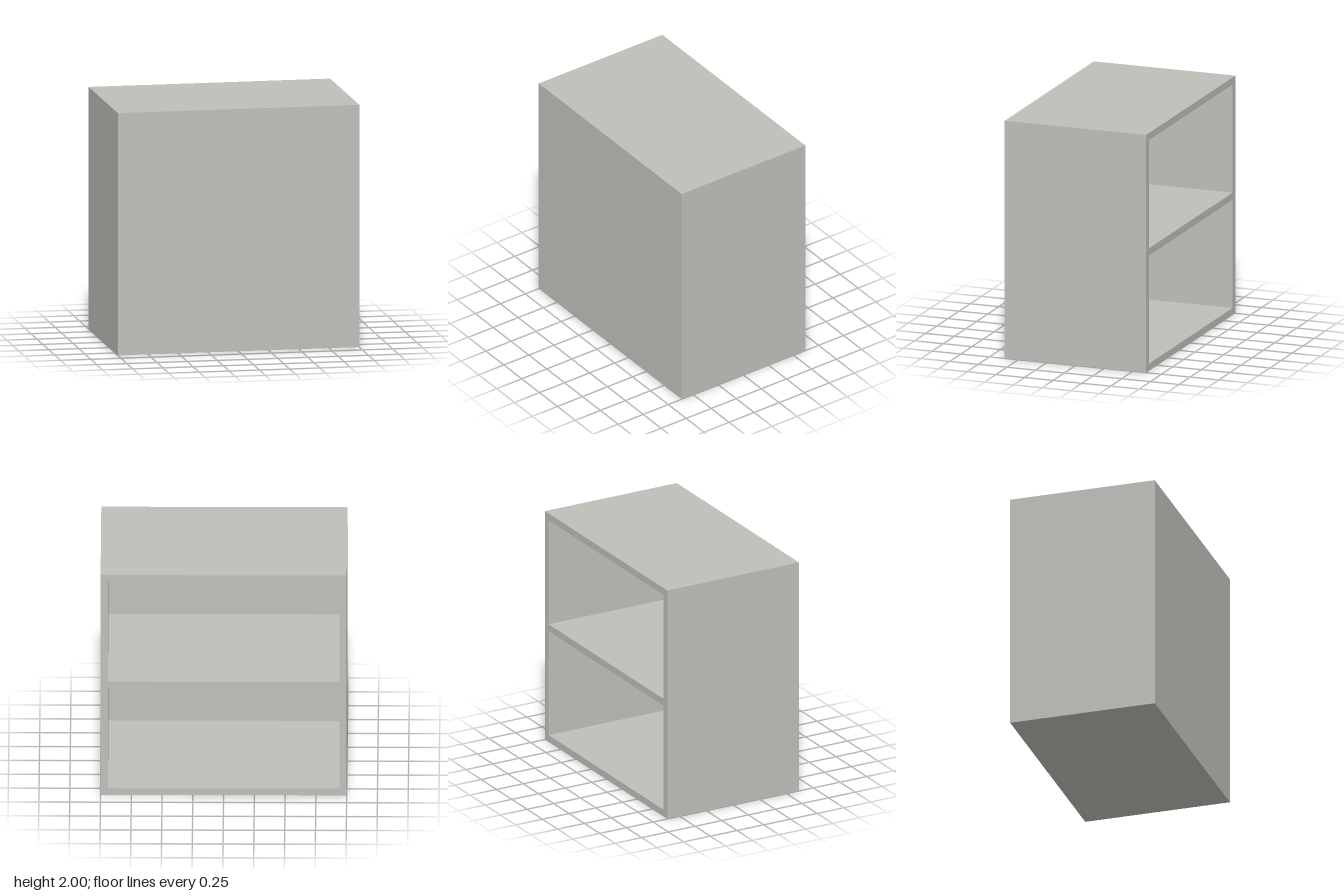
import * as THREE from 'three';

const W = 2, H = 2, D = 1.234; // outer size
const T = 0.06;                // board thickness
const P = 0.01;                // front panel thickness

// Adds a rectangle to a shape or hole path
function rect(path, x0, y0, x1, y1) {
  path.moveTo(x0, y0);
  path.lineTo(x1, y0);
  path.lineTo(x1, y1);
  path.lineTo(x0, y1);
  path.closePath();
  return path;
}

export function createModel() {
  const group = new THREE.Group();
  group.name = 'cabinet';
  const grey = new THREE.MeshStandardMaterial({ color: 0xbfbfba });
  grey.name = 'warm grey';

  // Sides, top, bottom and middle shelf: one outline with two bays cut through
  const outline = rect(new THREE.Shape(), -W / 2, 0, W / 2, H);
  const bay = (H - 3 * T) / 2;
  for (let i = 0; i < 2; i++) {
    const y = T + i * (bay + T);
    outline.holes.push(rect(new THREE.Path(), -W / 2 + T, y, W / 2 - T, y + bay));
  }
  const carcass = new THREE.Mesh(
    new THREE.ExtrudeGeometry(outline, { depth: D - P, bevelEnabled: false }), grey);
  carcass.name = 'carcassWithShelf';
  carcass.position.z = -D / 2;
  group.add(carcass);

  // Thin panel closing the front; the back stays open
  const panel = new THREE.Mesh(new THREE.BoxGeometry(W, H, P), grey);
  panel.name = 'frontPanel';
  panel.position.set(0, H / 2, D / 2 - P / 2);
  group.add(panel);

  return group;
}
